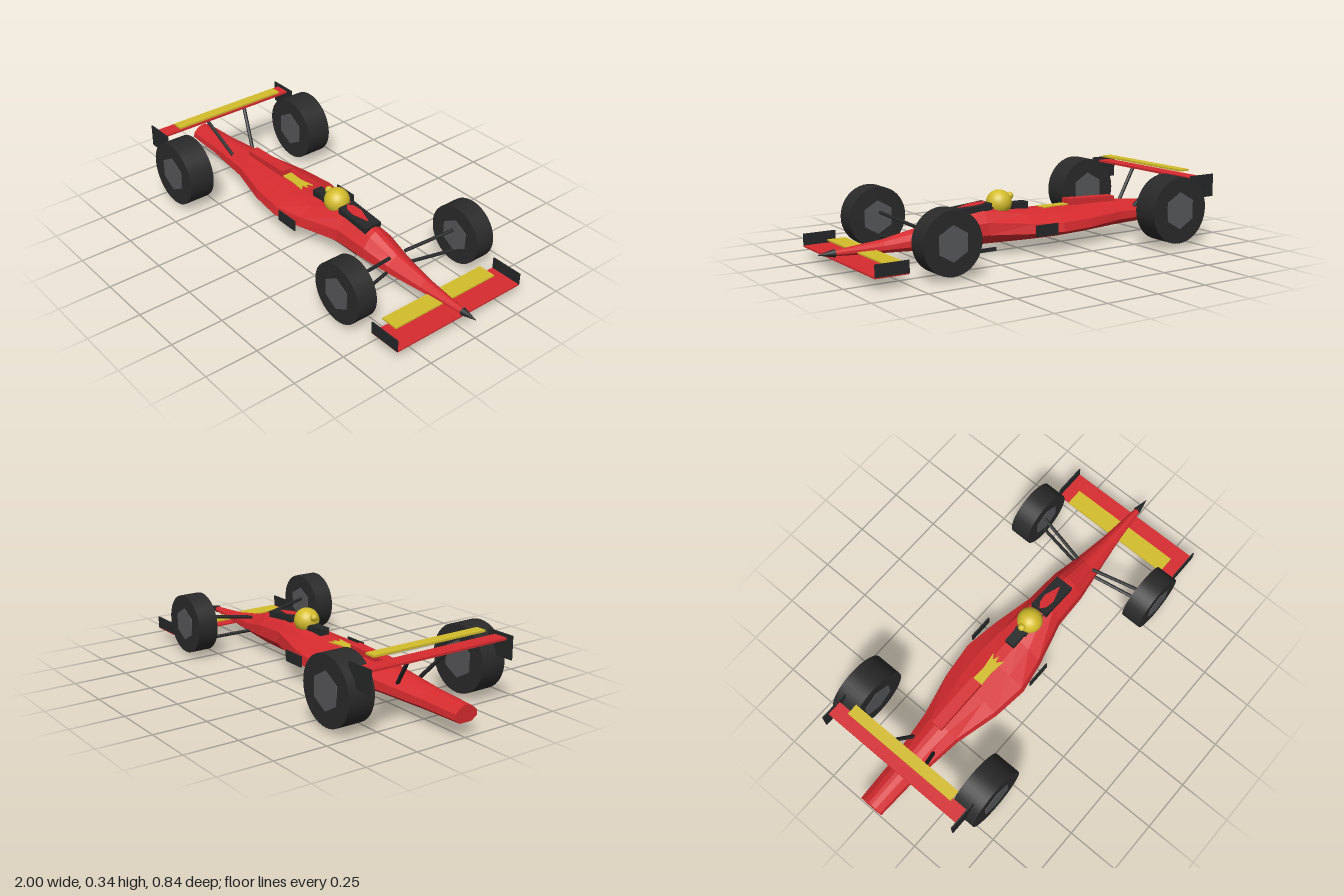
import * as THREE from 'three';

const mat = (name, color, extra = {}) => {
  const m = new THREE.MeshStandardMaterial({ color, ...extra });
  m.name = name;
  return m;
};

export function createModel() {
  const car = new THREE.Group();
  car.name = 'raceCar';
  const red = mat('red paint', 0xd62b2f, { flatShading: true });
  const yellow = mat('yellow paint', 0xd4bd2c);
  const black = mat('black trim', 0x262728);
  const rubber = mat('tyre rubber', 0x2a2a2b);
  const grey = mat('hub grey', 0x56575a);

  const add = (name, geo, material, x = 0, y = 0, z = 0) => {
    const m = new THREE.Mesh(geo, material);
    m.name = name;
    m.position.set(x, y, z);
    car.add(m);
    return m;
  };
  // Box given by its limits on each axis
  const slab = (name, material, x0, x1, y0, y1, z0, z1) =>
    add(name, new THREE.BoxGeometry(x1 - x0, y1 - y0, z1 - z0), material,
      (x0 + x1) / 2, (y0 + y1) / 2, (z0 + z1) / 2);
  const rod = (name, a, b, r) => {
    const p = new THREE.Vector3(...a), q = new THREE.Vector3(...b);
    const d = q.clone().sub(p);
    const m = add(name, new THREE.CylinderGeometry(r, r, d.length(), 8), black);
    m.position.copy(p).add(q).multiplyScalar(0.5);
    m.quaternion.setFromUnitVectors(new THREE.Vector3(0, 1, 0), d.normalize());
  };
  // Thin flat plate drawn in x and z
  const decal = (name, points, material, y) => {
    const s = new THREE.Shape(points.map(([x, z]) => new THREE.Vector2(x, -z)));
    const g = new THREE.ExtrudeGeometry(s, { depth: 0.005, bevelEnabled: false });
    return add(name, g.rotateX(-Math.PI / 2), material, 0, y, 0);
  };

  // Body: faceted sections of x, half width, bottom, top
  const sections = [
    [-1, 0.06, 0.065, 0.14], [-0.8, 0.068, 0.063, 0.152], [-0.53, 0.1, 0.06, 0.176],
    [-0.32, 0.153, 0.056, 0.175], [-0.15, 0.173, 0.054, 0.178], [0, 0.147, 0.053, 0.19],
    [0.21, 0.092, 0.053, 0.222], [0.38, 0.085, 0.054, 0.204], [0.52, 0.063, 0.058, 0.155],
    [0.7, 0.037, 0.067, 0.122], [0.93, 0.013, 0.079, 0.102],
  ];
  const half = [[0.52, 0], [1, 0.27], [0.94, 0.6], [0.52, 0.88], [0.14, 1]];
  const outline = [...half, ...half.map(([z, y]) => [-z, y]).reverse()];
  const rings = sections.map(([x, w, b, t]) => outline.map(([z, y]) => [x, b + y * (t - b), z * w]));
  const pos = [];
  const tri = (...p) => p.forEach((v) => pos.push(...v));
  const n = outline.length;
  for (let i = 0; i < rings.length - 1; i++) {
    for (let j = 0; j < n; j++) {
      const k = (j + 1) % n, A = rings[i], B = rings[i + 1];
      tri(A[j], B[j], B[k]);
      tri(A[j], B[k], A[k]);
    }
  }
  const rear = rings[0], front = rings[rings.length - 1];
  for (let j = 1; j < n - 1; j++) {
    tri(rear[0], rear[j], rear[j + 1]);
    tri(front[0], front[j + 1], front[j]);
  }
  const bodyGeo = new THREE.BufferGeometry();
  bodyGeo.setAttribute('position', new THREE.Float32BufferAttribute(pos, 3));
  bodyGeo.computeVertexNormals();
  add('body', bodyGeo, red);

  // Nose tip
  const tip = new THREE.ConeGeometry(0.018, 0.08, 16).rotateZ(-Math.PI / 2);
  add('noseTip', tip, black, 0.96, 0.09, 0);

  // Engine cover and flame stripe
  const cover = slab('engineCover', red, -0.55, -0.275, 0.165, 0.201, -0.027, 0.027);
  cover.rotation.z = 0.04;
  decal('flameStripe', [
    [-0.29, -0.025], [-0.2, -0.022], [-0.12, -0.034], [-0.145, -0.014], [-0.115, -0.003],
    [-0.15, 0.004], [-0.12, 0.03], [-0.2, 0.022], [-0.29, 0.025],
  ], yellow, 0.178);

  // Cockpit, windscreen and helmet
  slab('headrest', black, -0.045, 0.045, 0.18, 0.218, -0.025, 0.025);
  slab('cockpit', black, 0.03, 0.18, 0.18, 0.212, -0.03, 0.03);
  const screen = slab('windscreen', black, 0.165, 0.352, 0.195, 0.226, -0.045, 0.045);
  screen.rotation.z = -0.09;
  const inset = decal('windscreenInset', [
    [-0.085, 0], [-0.06, -0.02], [-0.015, -0.026], [0.065, 0], [-0.015, 0.026], [-0.06, 0.02],
  ], red, 0.225);
  inset.position.x = 0.255;
  inset.rotation.z = -0.09;
  add('helmet', new THREE.SphereGeometry(0.06, 24, 16), yellow, 0.1, 0.224, 0);
  add('helmetKnob', new THREE.SphereGeometry(0.018, 12, 8), yellow, 0.042, 0.25, 0);

  // Skid plate
  slab('skidPlate', black, 0.115, 0.245, 0, 0.017, -0.004, 0.004);

  // Wings
  slab('frontWing', red, 0.755, 0.91, 0.05, 0.057, -0.353, 0.353);
  slab('frontFlap', yellow, 0.74, 0.825, 0.08, 0.087, -0.285, 0.285);
  slab('rearWing', red, -0.835, -0.763, 0.297, 0.307, -0.373, 0.373);
  slab('rearFlap', yellow, -0.783, -0.73, 0.333, 0.342, -0.298, 0.298);

  // Mirrored parts
  const wheel = (name, x, r, z0, z1, hubR, s) => {
    const w = z1 - z0;
    const g = new THREE.CylinderGeometry(r, r, w, 40).rotateX(Math.PI / 2);
    add(name, g, rubber, x, r + 0.019, (s * (z0 + z1)) / 2);
    const h = new THREE.CylinderGeometry(hubR, hubR, w + 0.006, 6).rotateX(Math.PI / 2);
    add(name + 'Hub', h, grey, x, r + 0.019, (s * (z0 + z1)) / 2);
  };
  for (const s of [1, -1]) {
    wheel('rearWheel', -0.628, 0.156, 0.29, 0.418, 0.087, s);
    wheel('frontWheel', 0.57, 0.14, 0.29, 0.389, 0.078, s);
    const plate = (name, x0, x1, y0, y1, z) =>
      slab(name, black, x0, x1, y0, y1, s * z - 0.003, s * z + 0.003);
    plate('frontEndplate', 0.755, 0.91, 0.055, 0.11, 0.353);
    plate('rearEndplate', -0.867, -0.725, 0.215, 0.322, 0.375);
    plate('sidePlate', -0.108, 0.012, 0.082, 0.135, 0.176);
    rod('rearWingStrut', [-0.78, 0.298, s * 0.112], [-0.645, 0.14, s * 0.06], 0.009);
    rod('upperArm', [0.512, 0.15, s * 0.045], [0.562, 0.182, s * 0.3], 0.008);
    rod('lowerArm', [0.512, 0.083, s * 0.045], [0.562, 0.068, s * 0.3], 0.008);
  }
  return car;
}
